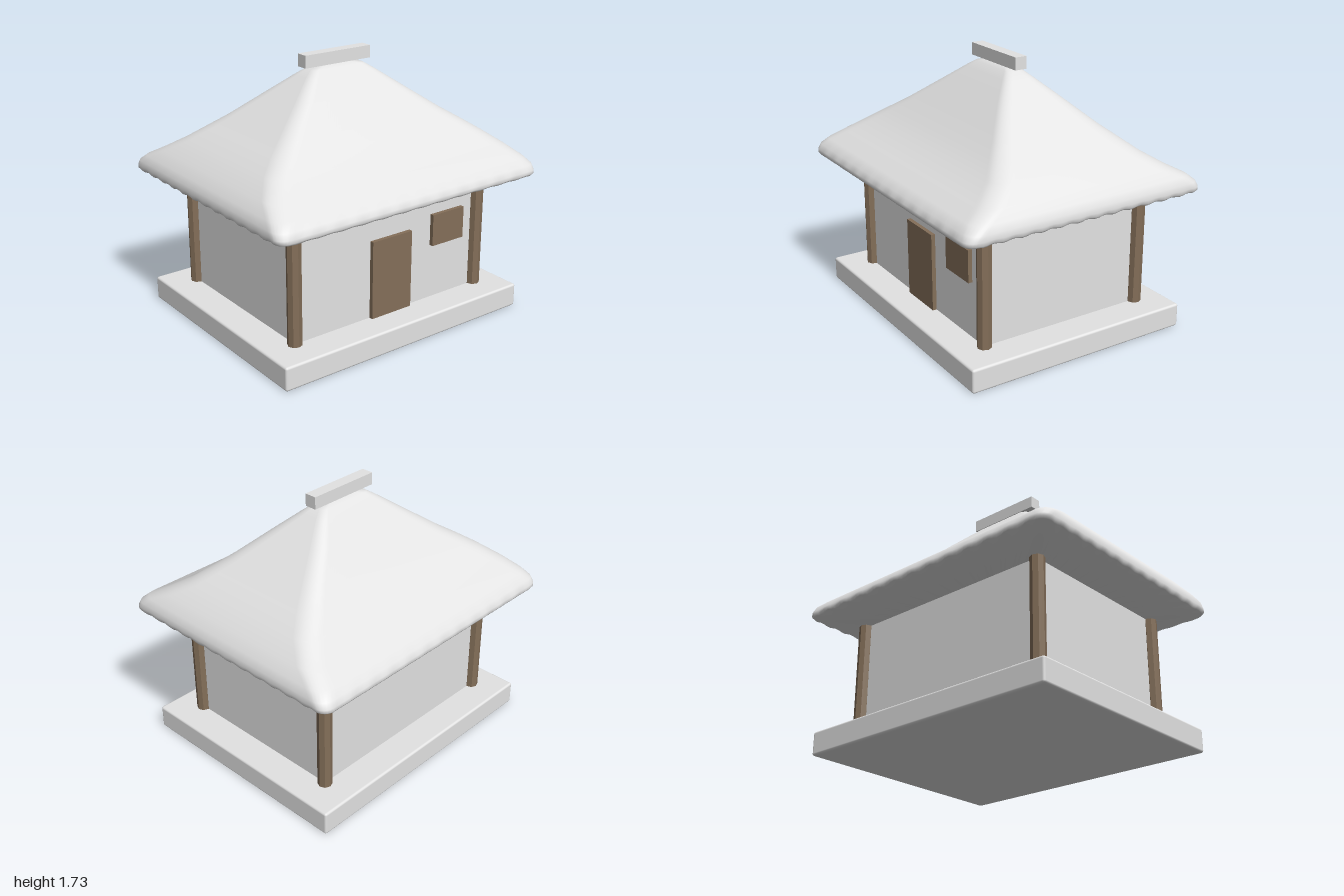
import * as THREE from 'three';
import { RoundedBoxGeometry } from 'three/addons/geometries/RoundedBoxGeometry.js';

// Roof cross-sections, from under the middle, out to the eaves, up to the ridge:
// half width, half depth, height, corner radius, ripple
const ROOF = [
  [0, 0, 0.887, 0, 0],
  [0.5, 0.42, 0.898, 0.04, 0],
  [0.78, 0.64, 0.91, 0.06, 0.002],
  [0.93, 0.78, 0.922, 0.07, 0.007],
  [0.985, 0.83, 0.932, 0.07, 0.005],
  [0.997, 0.838, 0.945, 0.07, 0.004],
  [0.998, 0.836, 0.965, 0.07, 0.002],
  [0.995, 0.82, 1.0, 0.08, 0],
  [0.97, 0.775, 1.04, 0.09, 0],
  [0.92, 0.665, 1.1, 0.1, 0],
  [0.82, 0.535, 1.185, 0.1, 0],
  [0.715, 0.45, 1.26, 0.1, 0],
  [0.61, 0.37, 1.33, 0.09, 0],
  [0.4, 0.215, 1.485, 0.07, 0],
  [0.26, 0.105, 1.59, 0.05, 0],
  [0.2, 0.06, 1.63, 0.035, 0],
  [0.13, 0.028, 1.644, 0.02, 0],
  [0, 0, 1.648, 0, 0],
];

// One rounded-rectangle loop; each side is followed by its corner arc
function roofLoop([hx, hz, y, r, ripple]) {
  const points = [];
  const sideSteps = 60, arcSteps = 6;
  const corners = [[1, 1], [-1, 1], [-1, -1], [1, -1]];
  for (let c = 0; c < 4; c++) {
    const [sx, sz] = corners[c];
    const [nx, nz] = corners[(c + 1) % 4];
    const cx = sx * (hx - r), cz = sz * (hz - r);
    for (let i = 0; i < arcSteps; i++) {
      const a = (c + i / arcSteps) * Math.PI / 2;
      points.push([cx + r * Math.cos(a), y, cz + r * Math.sin(a)]);
    }
    const a = (c + 1) * Math.PI / 2;
    const ex = nx * (hx - r), ez = nz * (hz - r);
    for (let i = 0; i < sideSteps; i++) {
      const t = i / sideSteps;
      const wave = ripple * Math.sin(t * Math.PI * 24);
      const out = r + (c % 2 === 0 ? wave : 0);
      points.push([
        cx + (ex - cx) * t + out * Math.cos(a),
        y + wave,
        cz + (ez - cz) * t + out * Math.sin(a),
      ]);
    }
  }
  return points;
}

function roofGeometry() {
  const loops = ROOF.map(roofLoop);
  const n = loops[0].length;
  const index = [];
  for (let i = 0; i < loops.length - 1; i++) {
    for (let j = 0; j < n; j++) {
      const a = i * n + j, b = i * n + (j + 1) % n;
      const c = a + n, d = b + n;
      index.push(a, c, b, b, c, d);
    }
  }
  const geometry = new THREE.BufferGeometry();
  geometry.setAttribute('position', new THREE.Float32BufferAttribute(loops.flat(2), 3));
  geometry.setIndex(index);
  geometry.computeVertexNormals();
  return geometry;
}

export function createModel() {
  const model = new THREE.Group();
  model.name = 'hut';

  const plaster = new THREE.MeshStandardMaterial({ color: 0xe3e3e3 });
  plaster.name = 'pale plaster';
  const wood = new THREE.MeshStandardMaterial({ color: 0x846f59 });
  wood.name = 'brown wood';
  const timber = wood;

  const add = (name, geometry, material, x, y, z) => {
    const mesh = new THREE.Mesh(geometry, material);
    mesh.name = name;
    mesh.position.set(x, y, z);
    model.add(mesh);
    return mesh;
  };

  // Plinth and walls
  add('plinth', new RoundedBoxGeometry(1.85, 0.155, 1.54, 2, 0.015), plaster, 0, 0.0775, 0);
  add('walls', new THREE.BoxGeometry(1.44, 0.73, 1.13), plaster, 0, 0.515, 0);

  // Eight-sided corner posts
  const post = new THREE.CylinderGeometry(0.046, 0.046, 0.725, 8).toNonIndexed();
  post.computeVertexNormals();
  for (const sx of [-1, 1]) {
    for (const sz of [-1, 1]) {
      const name = (sz > 0 ? 'front' : 'back') + (sx > 0 ? 'Left' : 'Right') + 'Post';
      add(name, post, timber, sx * 0.722, 0.5175, sz * 0.566);
    }
  }

  // Door and shutter on the front wall
  add('door', new THREE.BoxGeometry(0.31, 0.515, 0.04), wood, 0, 0.4125, 0.572);
  add('windowShutter', new THREE.BoxGeometry(0.26, 0.21, 0.04), wood, 0.46, 0.625, 0.572);

  // Thatched roof with its ridge beam
  add('roof', roofGeometry(), plaster, 0, 0, 0);
  add('ridgeBeam', new THREE.BoxGeometry(0.5, 0.08, 0.08), plaster, 0, 1.69, 0);

  return model;
}
